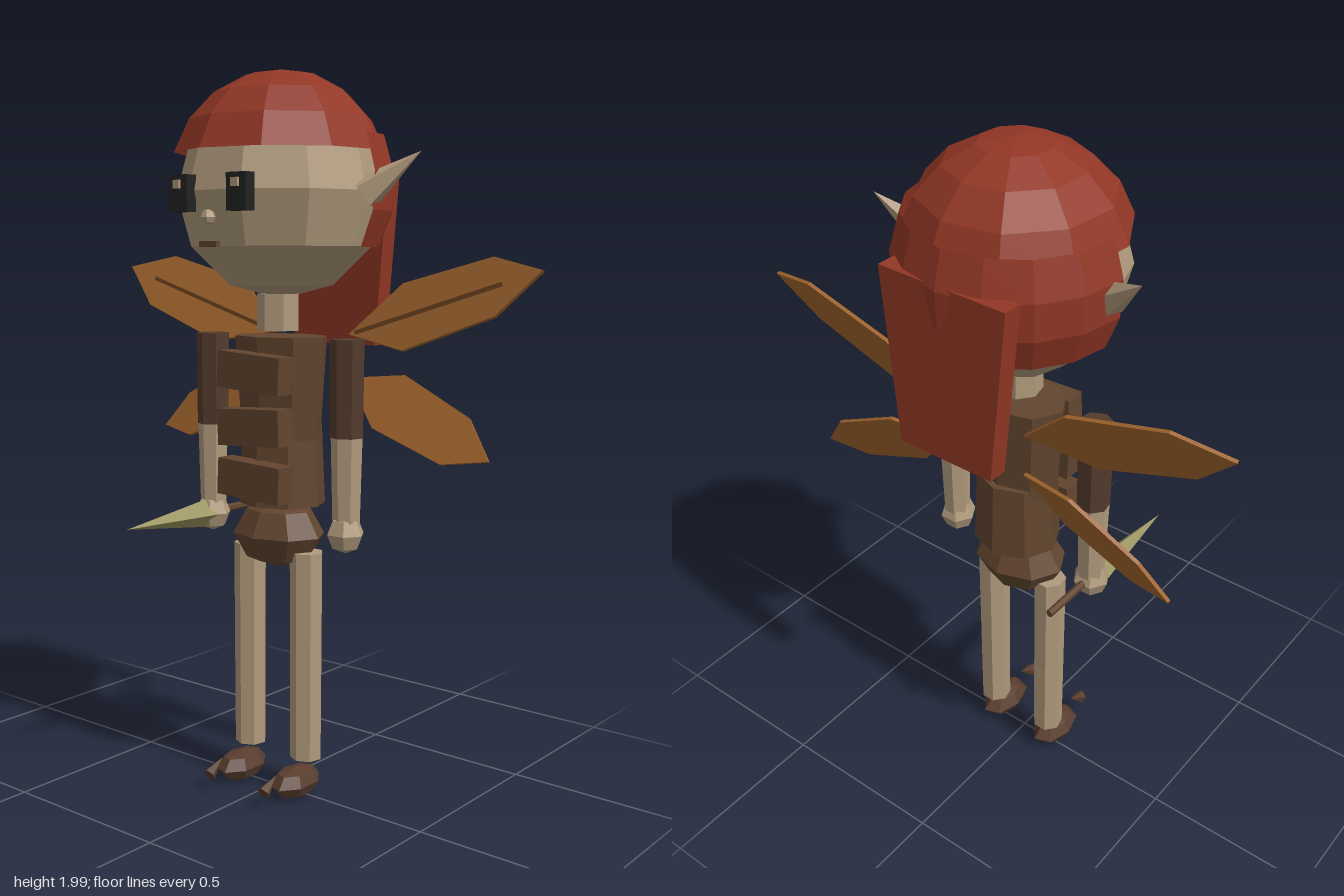
import * as THREE from 'three';

const mat = (name, color, side = THREE.FrontSide) => {
  const m = new THREE.MeshStandardMaterial({ color, flatShading: true, side });
  m.name = name;
  return m;
};

export function createModel() {
  const model = new THREE.Group();
  model.name = 'fairy';
  const skin = mat('skin', 0xb09a7c);
  const hair = mat('hair', 0x923725, THREE.DoubleSide);
  const leather = mat('leather', 0x62452f);
  const sleeve = mat('sleeve', 0x533a2c);
  const shoe = mat('shoe', 0x593d2e);
  const wing = mat('wing', 0xa0642d);
  const vein = mat('vein', 0x7a4a22);
  const black = mat('eye', 0x222222);
  const blade = mat('blade', 0x9a9460);

  const add = (name, geo, material, x, y, z, parent = model) => {
    const m = new THREE.Mesh(geo, material);
    m.name = name;
    m.position.set(x, y, z);
    parent.add(m);
    return m;
  };
  const box = (w, h, d) => new THREE.BoxGeometry(w, h, d);
  const cyl = (rt, rb, h, n = 7) => new THREE.CylinderGeometry(rt, rb, h, n);
  const ball = (r, w, h) => new THREE.SphereGeometry(r, w, h);
  const up = new THREE.Vector3(0, 1, 0);

  // Cone spanning two points, base to tip
  const spike = (name, r, n, a, b, material) => {
    const from = new THREE.Vector3(...a), to = new THREE.Vector3(...b);
    const dir = to.clone().sub(from);
    const mid = from.add(to).multiplyScalar(0.5);
    const m = add(name, new THREE.ConeGeometry(r, dir.length(), n), material, mid.x, mid.y, mid.z);
    m.quaternion.setFromUnitVectors(up, dir.normalize());
    return m;
  };

  // Head and face
  add('head', ball(0.285, 10, 6), skin, 0, 1.675, -0.03);
  add('nose', ball(0.02, 6, 4), skin, 0, 1.605, 0.262);
  add('mouth', box(0.06, 0.014, 0.015), leather, 0, 1.537, 0.258);
  add('neck', cyl(0.06, 0.06, 0.1, 7), skin, 0, 1.355, -0.02);

  // Hair: cap, back band and hanging slab
  const rim = Math.acos(0.08 / 0.3);
  add('hairCap', new THREE.SphereGeometry(0.3, 10, 4, 0.2, Math.PI * 2, 0, rim), hair, 0, 1.7, -0.03);
  add('hairBack', new THREE.SphereGeometry(0.312, 8, 3, Math.PI, Math.PI, 1.13, 0.98), hair, 0, 1.69, -0.03);
  const slab = box(0.38, 0.48, 0.055);
  const p = slab.attributes.position;
  for (let i = 0; i < p.count; i++) if (p.getY(i) < 0) p.setX(i, p.getX(i) * 0.76);
  add('ponytail', slab, hair, -0.01, 1.495, -0.307).rotation.x = 0.015;

  // Torso, straps and hips
  add('chest', cyl(0.145, 0.125, 0.28, 8), leather, 0, 1.15, -0.03).scale.z = 0.72;
  add('waist', cyl(0.115, 0.125, 0.22, 8), leather, 0, 0.935, -0.035).scale.z = 0.92;
  [[1.198, -0.06], [1.05, 0.05], [0.905, -0.05]].forEach(([y, tilt], i) => {
    add('strap' + (i + 1), box(0.215, 0.1, 0.06), leather, 0.01, y, 0.095).rotation.z = tilt;
  });
  add('hips', ball(0.14, 8, 4), leather, 0, 0.74, -0.02).scale.set(1, 0.69, 0.8);

  // Leaf outline along +x
  const leaf = (L, w) => {
    const s = new THREE.Shape();
    s.moveTo(0, 0);
    s.lineTo(L * 0.3, -w);
    s.lineTo(L * 0.77, -w * 0.85);
    s.lineTo(L, 0);
    s.lineTo(L * 0.77, w * 0.85);
    s.lineTo(L * 0.3, w);
    return new THREE.ExtrudeGeometry(s, { depth: 0.01, bevelEnabled: false }).translate(0, 0, -0.005);
  };

  for (const s of [1, -1]) {
    const side = s > 0 ? 'left' : 'right';
    add(side + 'Eye', box(0.065, 0.095, 0.035), black, s * 0.1, 1.667, 0.252);
    add(side + 'EyeGlint', box(0.022, 0.022, 0.008), skin, s * 0.1 - 0.0 * s, 1.69, 0.273);
    const ear = spike(side + 'Ear', 0.05, 5, [s * 0.27, 1.665, -0.04], [s * 0.405, 1.772, -0.1], skin);
    ear.updateMatrix();

    // Arms
    add(side + 'UpperArm', cyl(0.048, 0.046, 0.26), sleeve, s * 0.239, 1.16, -0.015);
    add(side + 'Forearm', cyl(0.044, 0.038, 0.24), skin, s * 0.24, 0.91, -0.015);
    add(side + 'Hand', ball(0.053, 6, 4), skin, s * 0.24, 0.77, -0.01);

    // Legs and shoes with a curled toe
    add(side + 'Leg', cyl(0.047, 0.045, 0.59), skin, s * 0.102, 0.405, -0.018);
    add(side + 'Shoe', ball(0.055, 7, 4), shoe, s * 0.1, 0.052, 0.025).scale.set(1, 0.78, 1.65);
    spike(side + 'Toe', 0.02, 5, [s * 0.1, 0.06, 0.165], [s * 0.1, 0.094, 0.11], shoe);

    // Wings, rolled about their long axis
    const wings = [['Upper', 0.62, 0.1, 1.29, 0.296], ['Lower', 0.49, 0.085, 1.17, -0.4]];
    for (const [level, L, w, y, angle] of wings) {
      const pivot = new THREE.Group();
      pivot.name = side + level + 'Wing';
      pivot.position.set(s * 0.13, y, -0.17);
      pivot.rotation.set(0, s > 0 ? 0 : Math.PI, s * angle);
      if (s < 0) pivot.rotation.set(0, 0, Math.PI - angle);
      model.add(pivot);
      const blade2 = add('wingLeaf', leaf(L, w), wing, 0, 0, 0, pivot);
      blade2.rotation.x = s * -0.42;
      if (level === 'Upper') add('wingVein', box(0.48, 0.011, 0.014), vein, 0.265, 0, 0.004, pivot);
    }
  }

  // Dagger in the right hand
  spike('daggerBlade', 0.042, 4, [-0.24, 0.77, 0.01], [-0.24, 0.772, 0.335], blade);
  add('daggerHandle', cyl(0.011, 0.011, 0.2, 6), leather, -0.24, 0.772, -0.105).rotation.x = Math.PI / 2;

  return model;
}
